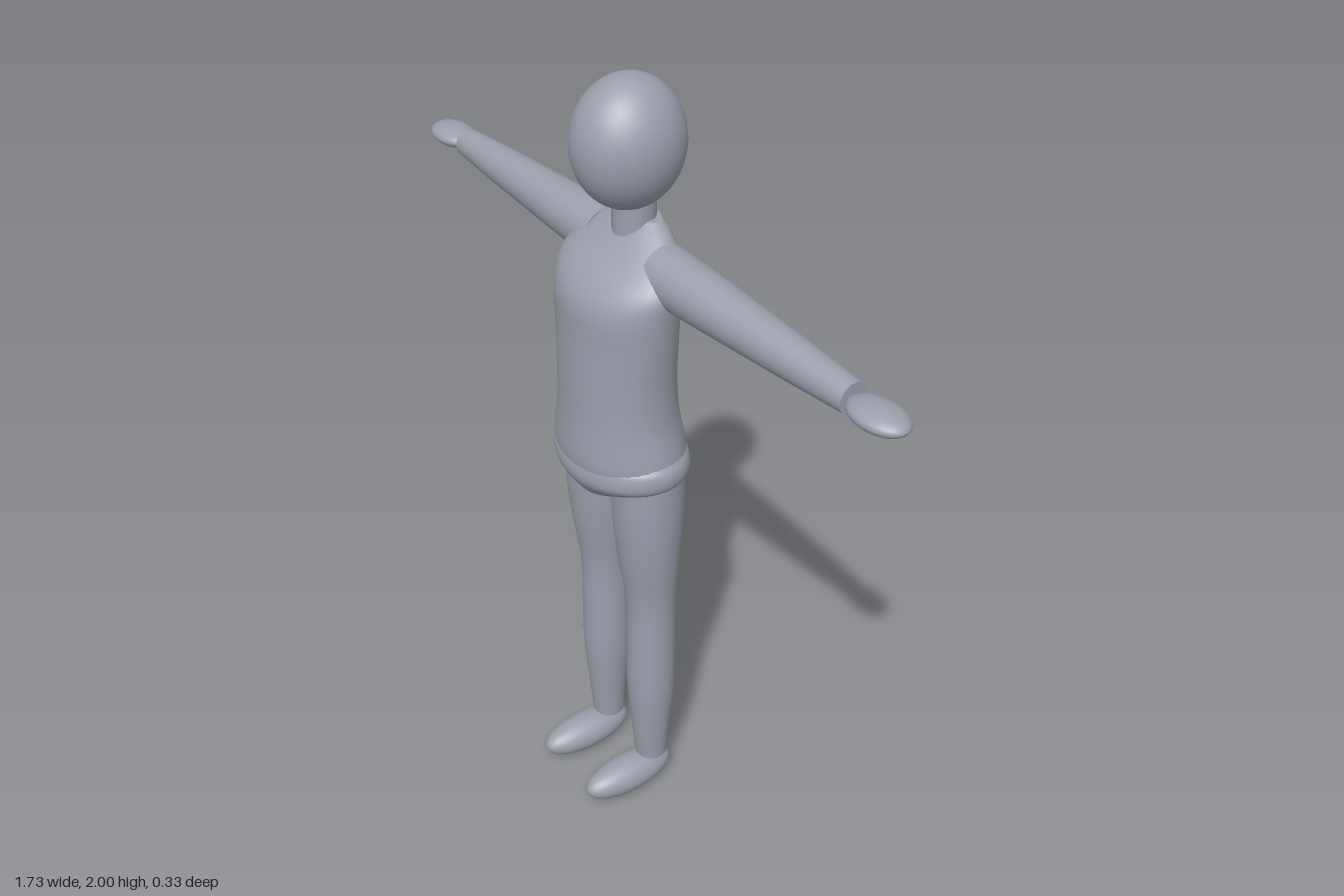
import * as THREE from 'three';

const skin = new THREE.MeshStandardMaterial({ color: 0x9a9fab });
skin.name = 'plain grey';

// Closed body from sections [y, halfWidth, zFront, zBack], smoothed along y
function loft(sections, steps = 32, sides = 40) {
  const widths = new THREE.CatmullRomCurve3(
    sections.map(([y, w]) => new THREE.Vector3(w, y, 0)), false, 'catmullrom', 0.5);
  const depths = new THREE.CatmullRomCurve3(
    sections.map(([y, , f, b]) => new THREE.Vector3((f + b) / 2, y, (f - b) / 2)), false, 'catmullrom', 0.5);
  const pos = [], index = [];
  const addRing = (t) => {
    const w = widths.getPoint(t), d = depths.getPoint(t);
    for (let j = 0; j < sides; j++) {
      const a = (j / sides) * Math.PI * 2;
      pos.push(w.x * Math.cos(a), w.y, d.x + d.z * Math.sin(a));
    }
  };
  for (let i = 0; i <= steps; i++) addRing(i / steps);
  for (let i = 0; i < steps; i++) {
    for (let j = 0; j < sides; j++) {
      const k = (j + 1) % sides;
      const a = i * sides + j, b = i * sides + k;
      index.push(a, a + sides, b, b, a + sides, b + sides);
    }
  }
  // Flat end caps with their own vertices
  for (const t of [0, 1]) {
    const start = pos.length / 3;
    addRing(t);
    const centre = pos.length / 3;
    pos.push(0, widths.getPoint(t).y, depths.getPoint(t).x);
    for (let j = 0; j < sides; j++) {
      const p = start + j, q = start + ((j + 1) % sides);
      if (t) index.push(centre, q, p);
      else index.push(centre, p, q);
    }
  }
  const geo = new THREE.BufferGeometry();
  geo.setAttribute('position', new THREE.Float32BufferAttribute(pos, 3));
  geo.setIndex(index);
  geo.computeVertexNormals();
  return geo;
}

// Round section of radius r centred at depth z
const round = (y, r, z = 0) => [y, r, z + r, z - r];

export function createModel() {
  const model = new THREE.Group();
  model.name = 'figure';

  const add = (name, geometry, x = 0, y = 0, z = 0) => {
    const mesh = new THREE.Mesh(geometry, skin);
    mesh.name = name;
    mesh.position.set(x, y, z);
    model.add(mesh);
    return mesh;
  };
  const ball = new THREE.SphereGeometry(1, 40, 28);
  const ellipsoid = (name, centre, radii) => add(name, ball, ...centre).scale.set(...radii);

  // Head and neck
  ellipsoid('head', [0, 1.85, -0.031], [0.12, 0.15, 0.132]);
  add('neck', new THREE.CylinderGeometry(0.05, 0.05, 0.13, 32), 0, 1.695, -0.048);

  // Torso
  add('torso', loft([
    [1.04, 0.18, 0.122, -0.145],
    [1.10, 0.186, 0.13, -0.152],
    [1.20, 0.168, 0.126, -0.136],
    [1.30, 0.166, 0.124, -0.126],
    [1.40, 0.174, 0.121, -0.122],
    [1.50, 0.183, 0.117, -0.12],
    [1.56, 0.186, 0.085, -0.118],
    [1.61, 0.155, 0.03, -0.114],
    [1.65, 0.105, -0.01, -0.11],
    [1.675, 0.065, -0.036, -0.1],
  ], 54));

  // Pelvis
  add('pelvis', loft([
    [0.95, 0.025, 0.04, -0.05],
    [0.965, 0.05, 0.07, -0.085],
    [0.99, 0.095, 0.098, -0.115],
    [1.02, 0.15, 0.12, -0.142],
    [1.045, 0.19, 0.13, -0.156],
    [1.07, 0.2, 0.13, -0.159],
    [1.095, 0.197, 0.122, -0.15],
    [1.11, 0.187, 0.105, -0.135],
  ], 35));

  const legShape = loft([
    round(0.1, 0.042, -0.046),
    round(0.2, 0.05, -0.043),
    round(0.35, 0.062, -0.041),
    round(0.5, 0.063, -0.039),
    round(0.65, 0.064, -0.036),
    round(0.8, 0.078, -0.028),
    round(0.92, 0.087, -0.024),
    round(1.05, 0.09, -0.022),
  ], 42);
  const armShape = loft([
    round(0.11, 0.067),
    round(0.25, 0.063),
    round(0.4, 0.055),
    round(0.55, 0.047),
    round(0.72, 0.036),
  ], 24);

  // Limbs, mirrored
  for (const [side, s] of [['left', 1], ['right', -1]]) {
    add(side + 'Leg', legShape, s * 0.1);
    ellipsoid(side + 'Foot', [s * 0.1, 0.053, 0.03], [0.053, 0.05, 0.134]);
    add(side + 'Arm', armShape, 0, 1.577, -0.051).rotation.z = -s * Math.PI / 2;
    ellipsoid(side + 'Hand', [s * 0.79, 1.576, -0.05], [0.076, 0.025, 0.05]);
  }
  return model;
}
